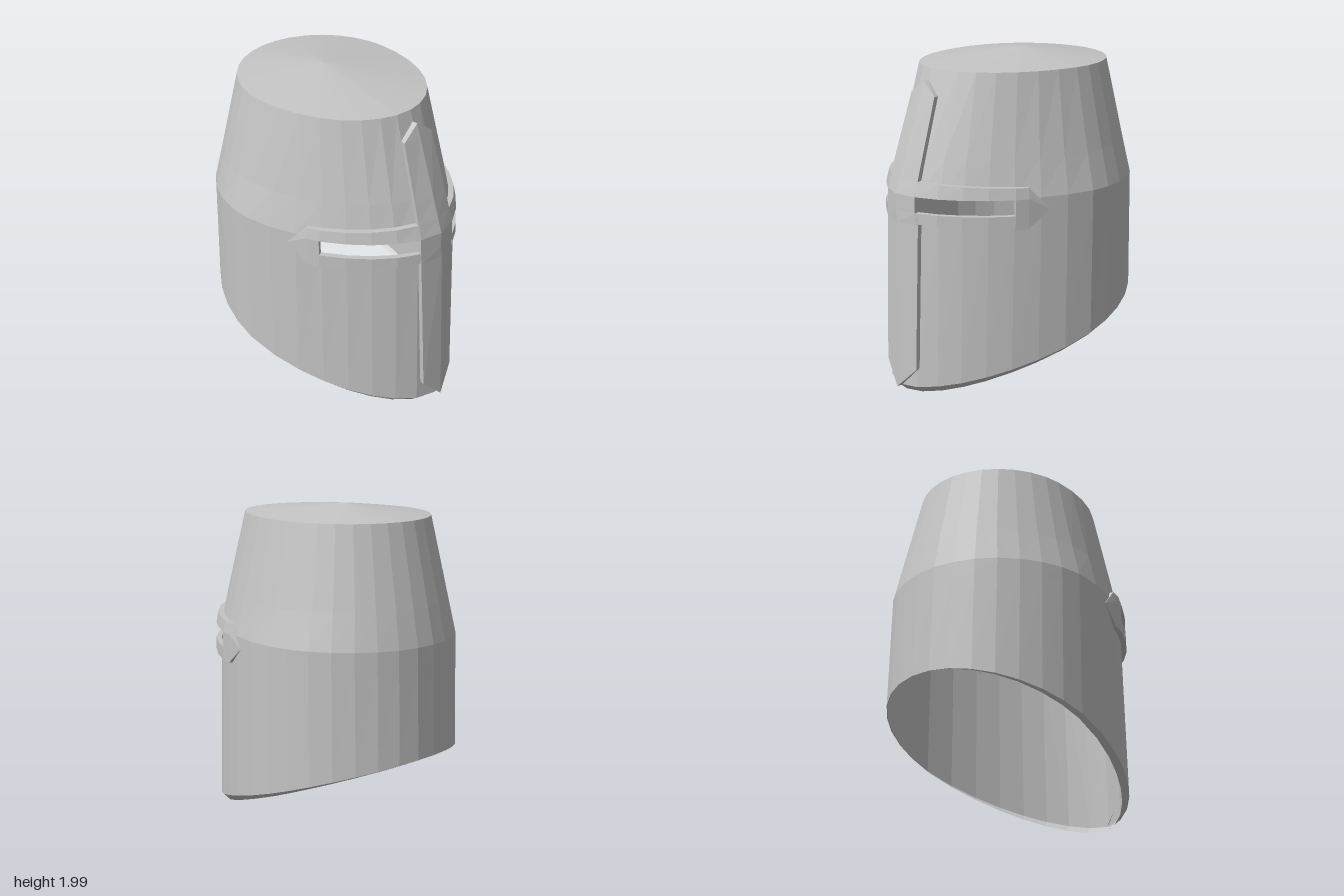
import * as THREE from 'three';

const STEP = Math.PI / 16;
const CENTRE_Z = -0.14;
// Height, half width, front z, back z, and roundness of the front half (2 = ellipse)
const PROFILE = [
  [0, 0.66, 0.8, -0.845, 1.7],
  [1.235, 0.66, 0.76, -0.815, 1.7],
  [1.45, 0.605, 0.69, -0.77, 1.8],
  [1.935, 0.5, 0.53, -0.66, 2],
];

function section(y) {
  let i = 0;
  while (i < PROFILE.length - 2 && y > PROFILE[i + 1][0]) i++;
  const p = PROFILE[i], q = PROFILE[i + 1];
  const t = (y - p[0]) / (q[0] - p[0]);
  return [1, 2, 3, 4].map((k) => p[k] + (q[k] - p[k]) * t);
}

// Pulls the front half in from an ellipse towards a keel
function pull(angle, power) {
  const s = Math.abs(Math.sin(angle)), c = Math.cos(angle);
  return c > 0 ? (s ** power + c ** power) ** (-1 / power) : 1;
}

// Point on the helmet wall; angle 0 is the front, off pushes it outward
function wall(angle, y, off = 0) {
  const [a, front, back, power] = section(y);
  const s = Math.sin(angle), c = Math.cos(angle), k = pull(angle, power);
  const b = c >= 0 ? front - CENTRE_Z : CENTRE_Z - back;
  const n = new THREE.Vector2(s / a, c / b).normalize();
  return new THREE.Vector3(a * s * k + n.x * off, y, CENTRE_Z + b * c * k + n.y * off);
}

// Angle at which the front wall reaches a given x
function angleAt(x, y) {
  const [a, , , power] = section(y);
  let angle = Math.asin(x / a);
  for (let i = 0; i < 5; i++) angle = Math.asin(x / (a * pull(angle, power)));
  return angle;
}

const hemHeight = (angle) => 0.048 + 0.323 * (0.8 - wall(angle, 0.3).z);

function meshFrom(name, material, points) {
  const geometry = new THREE.BufferGeometry().setFromPoints(points);
  geometry.computeVertexNormals();
  const mesh = new THREE.Mesh(geometry, material);
  mesh.name = name;
  return mesh;
}

// Corners run anticlockwise as seen from outside
const quad = (out, a, b, c, d) => out.push(a, b, c, a, c, d);

// Raised plate: rows (bottom to top) of [angle, y, offset], with side walls
function plate(name, material, rows) {
  const out = [];
  const top = rows.map((r) => r.map(([a, y, off = 0.033]) => wall(a, y, off)));
  const base = rows.map((r) => r.map(([a, y]) => wall(a, y)));
  const m = rows.length - 1, n = rows[0].length - 1;
  for (let j = 0; j < m; j++) {
    for (let i = 0; i < n; i++) {
      quad(out, top[j][i], top[j][i + 1], top[j + 1][i + 1], top[j + 1][i]);
    }
    quad(out, base[j][0], top[j][0], top[j + 1][0], base[j + 1][0]);
    quad(out, top[j][n], base[j][n], base[j + 1][n], top[j + 1][n]);
  }
  for (let i = 0; i < n; i++) {
    quad(out, base[0][i], base[0][i + 1], top[0][i + 1], top[0][i]);
    quad(out, top[m][i], top[m][i + 1], base[m][i + 1], base[m][i]);
  }
  return meshFrom(name, material, out);
}

export function createModel() {
  const steel = new THREE.MeshStandardMaterial({
    color: 0xc4c4c4, flatShading: true, side: THREE.DoubleSide,
  });
  steel.name = 'steel';
  const helmet = new THREE.Group();
  helmet.name = 'helmet';

  // Wall, leaving out the two eye slits; hem and lid share its columns
  const shell = [], hem = [], lid = [];
  const peak = new THREE.Vector3(0, 2, -0.15);
  const heights = [null, 1.14, 1.235, 1.45, 1.935];
  const at = (i, j) => wall(i * STEP, j === 0 ? hemHeight(i * STEP) : heights[j]);
  const hemInner = (i) => {
    const p = at(i, 0), c = Math.cos(i * STEP), w = (1 + c) / 2;
    return new THREE.Vector3(
      p.x - 0.05 * w * Math.sin(i * STEP), p.y - 0.045 * w, p.z - 0.05 * w * c);
  };
  for (let i = -16; i < 16; i++) {
    const slit = (i >= 1 && i < 5) || (i >= -5 && i < -1);
    for (let j = 0; j < 4; j++) {
      if (j === 1 && slit) continue;
      quad(shell, at(i, j), at(i + 1, j), at(i + 1, j + 1), at(i, j + 1));
    }
    quad(hem, hemInner(i), hemInner(i + 1), at(i + 1, 0), at(i, 0));
    lid.push(at(i, 4), at(i + 1, 4), peak);
  }
  helmet.add(
    meshFrom('shell', steel, shell),
    meshFrom('hem', steel, hem),
    meshFrom('lid', steel, lid));

  // Upright bar of the face cross: height, left, middle and right x
  const bar = [
    [0.05, 0.02, 0.02, 0.02],
    [0.185, -0.105, 0.02, 0.145],
    [1.07, -0.125, 0.01, 0.148],
    [1.14, -0.128, 0, 0.13],
    [1.235, -0.128, 0, 0.128],
    [1.32, -0.125, 0, 0.125],
    [1.45, -0.12, 0, 0.12],
    [1.79, -0.105, 0, 0.105],
    [1.87, 0, 0, 0],
  ].map(([y, ...xs]) => xs.map((x) => [angleAt(x, y), y]));
  helmet.add(plate('crossUpright', steel, bar));

  // Arms above and below each slit, closed by a pointed end
  const upperEdge = (a) => 1.325 - 0.025 * a;
  const lowerEdge = (a) => 1.08 - 0.02 * a;
  for (const side of [-1, 1]) {
    const prefix = side > 0 ? 'left' : 'right';
    const angles = [1, 2, 3, 4, 5].map((k) => k * STEP);
    const row = (list, yAt) => {
      const r = list.map((a) => [side * a, yAt(a)]);
      return side > 0 ? r : r.reverse();
    };
    helmet.add(
      plate(prefix + 'BrowArm', steel, [row(angles, () => 1.235), row(angles, upperEdge)]),
      plate(prefix + 'CheekArm', steel, [row(angles, lowerEdge), row(angles, () => 1.14)]));

    // The outer corners sink towards the wall so the point merges into it
    const end = [lowerEdge, () => 1.14, () => 1.235, upperEdge].map((yAt) => {
      const r = [
        [side * 5 * STEP, yAt(5 * STEP)],
        [side * 1.08, yAt(1.08), 0.022],
        [side * 1.24, 1.165, 0.002],
      ];
      return side > 0 ? r : r.reverse();
    });
    helmet.add(plate(prefix + 'ArmPoint', steel, end));
  }
  return helmet;
}
